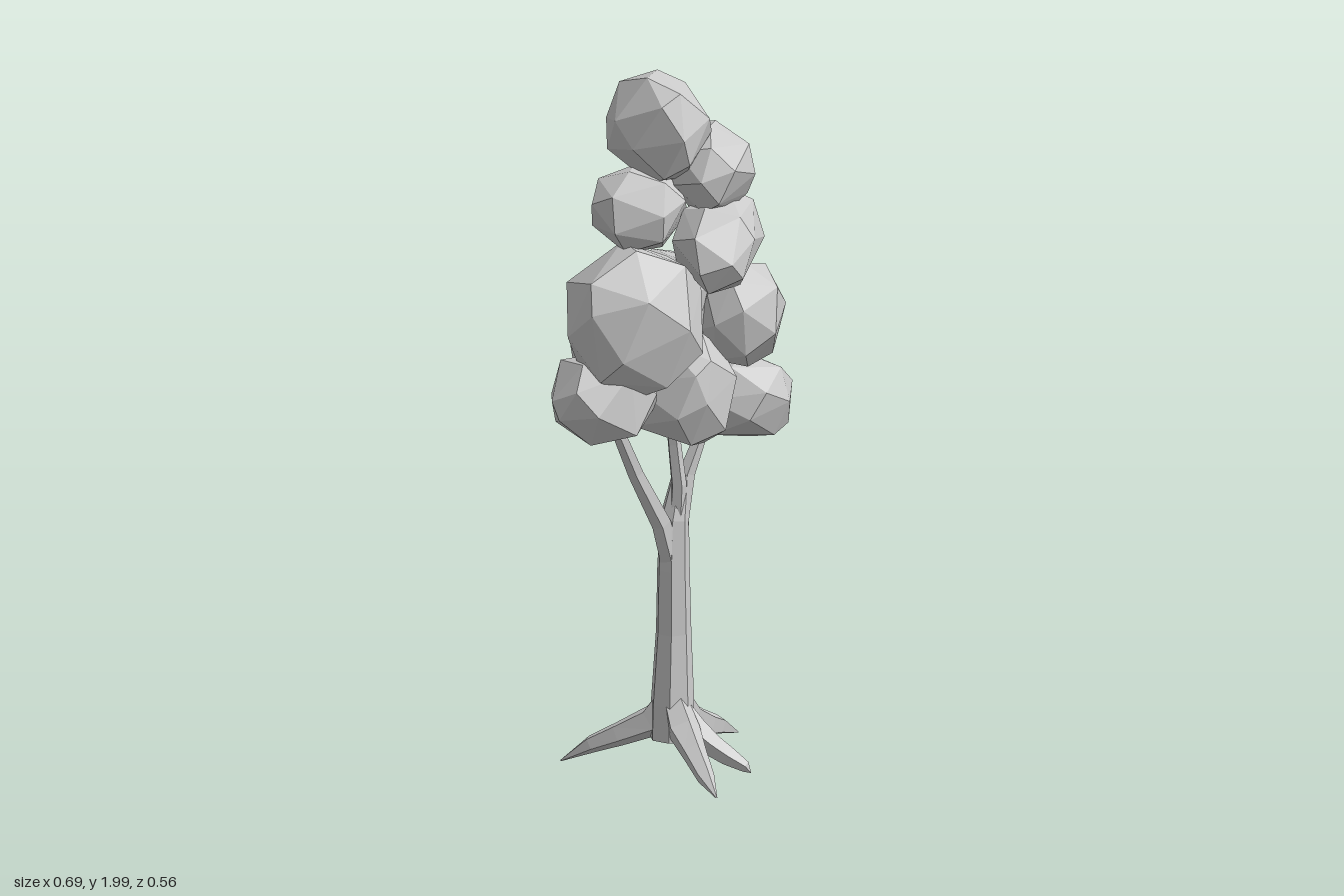
import * as THREE from 'three';
import { ConvexGeometry } from 'three/addons/geometries/ConvexGeometry.js';

const material = new THREE.MeshStandardMaterial({ color: 0xcccccc, flatShading: true });

function seeded(seed) {
  let s = seed * 7919 + 17;
  return () => (s = (s * 16807) % 2147483647) / 2147483647;
}

// Faceted leaf clump: hull of jittered points on a slightly boxy ball, fitted to its half-sizes
function clump(center, half, yaw, seed) {
  const rand = seeded(seed);
  for (let i = 0; i < 5; i++) rand();
  const count = 22, power = 2.4, turn = rand() * 6.28, points = [];
  for (let i = 0; i < count; i++) {
    const y = 1 - (2 * i + 1) / count + (rand() - 0.5) * 0.16;
    const a = i * 2.39996 + turn + (rand() - 0.5) * 0.6;
    const r = Math.sqrt(Math.max(0, 1 - y * y));
    const p = new THREE.Vector3(r * Math.cos(a), y, r * Math.sin(a));
    const norm = p.toArray().reduce((sum, c) => sum + Math.abs(c) ** power, 0) ** (1 / power);
    points.push(p.divideScalar(norm));
  }
  const box = new THREE.Box3().setFromPoints(points);
  const mid = box.getCenter(new THREE.Vector3());
  const size = box.getSize(new THREE.Vector3());
  const fit = new THREE.Vector3(...half).multiplyScalar(2).divide(size);
  points.forEach((p) => p.sub(mid).multiply(fit));
  const mesh = new THREE.Mesh(new ConvexGeometry(points), material);
  mesh.position.set(...center);
  mesh.rotation.y = yaw;
  return mesh;
}

// Tapered limb: stations are [x, y, z, radius]
function limb(stations, sides) {
  const curve = new THREE.CatmullRomCurve3(stations.map((s) => new THREE.Vector3(s[0], s[1], s[2])));
  const rings = stations.length - 1;
  const geometry = new THREE.TubeGeometry(curve, rings, 1, sides);
  const pos = geometry.attributes.position;
  const v = new THREE.Vector3();
  for (let i = 0; i < pos.count; i++) {
    const k = Math.floor(i / (sides + 1));
    const old = curve.getPointAt(k / rings);
    const [x, y, z, r] = stations[k];
    v.fromBufferAttribute(pos, i).sub(old).multiplyScalar(r);
    pos.setXYZ(i, x + v.x, y + v.y, z + v.z);
  }
  geometry.computeVertexNormals();
  return new THREE.Mesh(geometry, material);
}

export function createModel() {
  const tree = new THREE.Group();
  tree.name = 'tree';
  const add = (mesh, name) => { mesh.name = name; tree.add(mesh); };

  // Trunk, closed at the foot
  add(limb([
    [0.005, 0.1, -0.045, 0], [0.005, 0.102, -0.045, 0.06], [0.008, 0.2, -0.05, 0.06],
    [0.012, 0.4, -0.057, 0.049], [0.012, 0.58, -0.06, 0.045], [0.015, 0.72, -0.06, 0.04],
    [0.035, 0.84, -0.075, 0.024],
  ], 7), 'trunk');

  // Branches reaching into the crown
  const branches = [
    [[0.005, 0.6, -0.05, 0.03], [-0.025, 0.72, -0.025, 0.028], [-0.1, 0.88, 0.02, 0.022], [-0.17, 1.06, 0.085, 0.017]],
    [[0.025, 0.7, -0.06, 0.028], [0.05, 0.84, -0.08, 0.024], [0.09, 0.94, -0.095, 0.018], [0.14, 1.04, -0.11, 0.014]],
    [[0.02, 0.68, -0.055, 0.024], [0.025, 0.82, -0.045, 0.022], [0.012, 0.94, -0.04, 0.019], [0.0, 1.06, -0.03, 0.016]],
  ];
  branches.forEach((b, i) => add(limb(b, 5), `branch${i + 1}`));

  // Roots, flaring from the foot to their tips
  const roots = [
    [[0.0, 0.22, -0.05, 0.035], [-0.04, 0.145, -0.07, 0.046], [-0.13, 0.098, -0.105, 0.034], [-0.2, 0.062, -0.135, 0.025], [-0.28, 0.008, -0.165, 0.002]],
    [[0.02, 0.22, -0.06, 0.035], [0.05, 0.145, -0.1, 0.046], [0.11, 0.098, -0.165, 0.038], [0.15, 0.077, -0.21, 0.028], [0.214, 0.03, -0.28, 0.002]],
    [[0.01, 0.22, -0.04, 0.035], [0.03, 0.145, 0.02, 0.046], [0.05, 0.105, 0.1, 0.034], [0.07, 0.065, 0.18, 0.025], [0.09, 0.033, 0.27, 0.002]],
    [[0.02, 0.2, -0.04, 0.03], [0.06, 0.135, -0.02, 0.04], [0.11, 0.095, 0.015, 0.032], [0.15, 0.07, 0.035, 0.027], [0.195, 0.045, 0.055, 0.016], [0.208, 0.03, 0.062, 0.001]],
  ];
  roots.forEach((r, i) => add(limb(r, 5), `root${i + 1}`));

  // Crown: centre, half-sizes and turn of each clump, top to bottom
  const crown = [
    [[-0.038, 1.85, -0.005], [0.112, 0.15, 0.15], 0.75],
    [[0.108, 1.73, -0.03], [0.118, 0.112, 0.165], 0],
    [[-0.09, 1.63, 0.02], [0.132, 0.115, 0.12], 0],
    [[0.12, 1.525, 0.035], [0.118, 0.13, 0.2], -0.3],
    [[-0.115, 1.35, 0.11], [0.187, 0.205, 0.172], 0],
    [[0.035, 1.32, -0.11], [0.145, 0.14, 0.133], 0],
    [[0.195, 1.31, -0.045], [0.122, 0.14, 0.132], 0],
    [[-0.09, 1.185, -0.065], [0.172, 0.2, 0.14], 0],
    [[-0.2, 1.135, 0.125], [0.145, 0.125, 0.15], 0],
    [[0.02, 1.125, 0.05], [0.15, 0.155, 0.135], 0],
    [[0.2, 1.06, -0.07], [0.14, 0.122, 0.127], 0],
  ];
  crown.forEach(([c, h, yaw], i) => add(clump(c, h, yaw, i + 3), `leafClump${i + 1}`));

  return tree;
}
